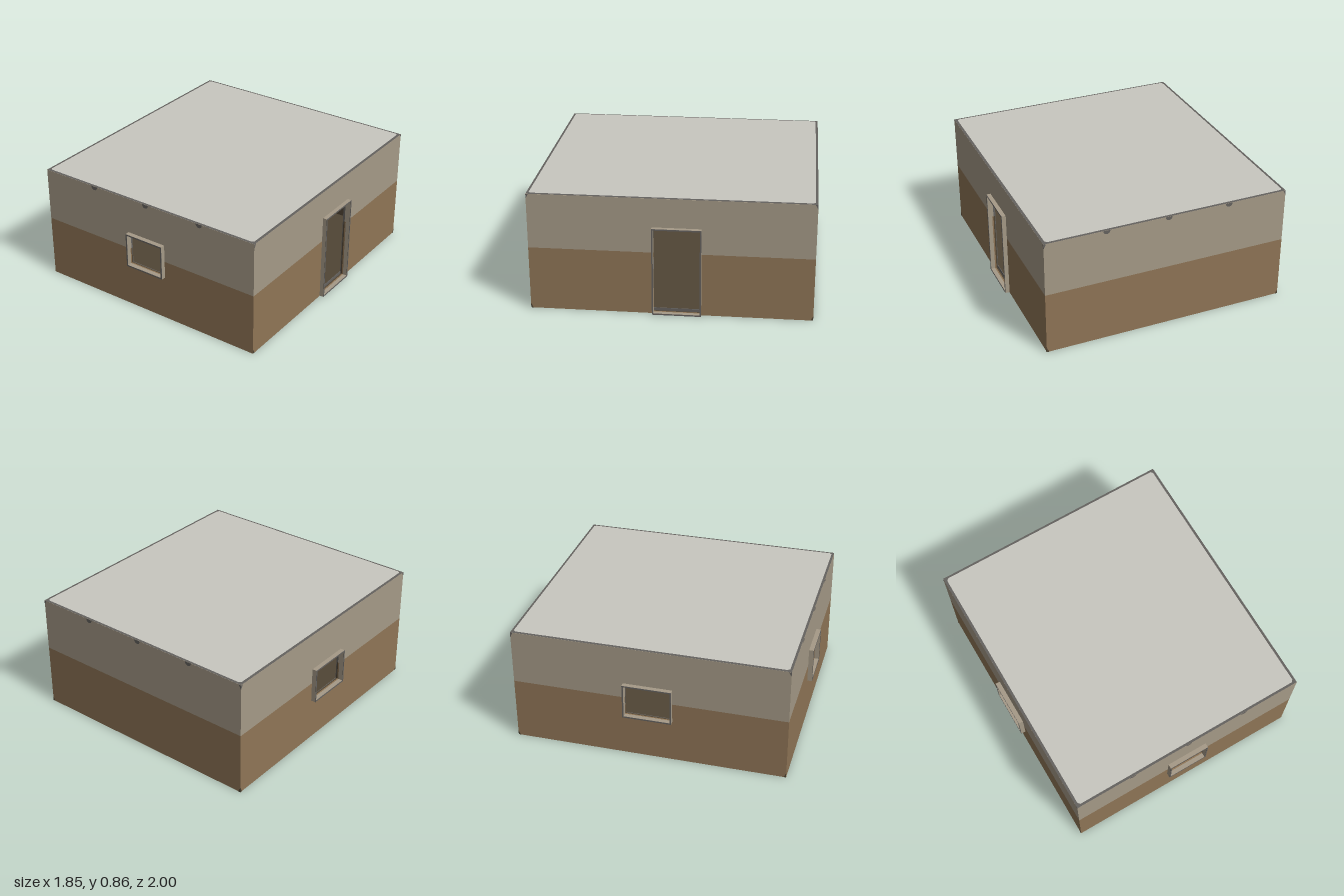
import * as THREE from 'three';

const mat = (name, color) => Object.assign(new THREE.MeshStandardMaterial({ color }), { name });
const M = {
  plaster: mat('beige plaster', 0xa59a87),
  brown: mat('brown base paint', 0x8f7556),
  roof: mat('pale roof', 0xc8c7c0),
  grey: mat('dark grey', 0x65625f),
  dark: mat('dark brown', 0x504535),
};
const H = 0.855, SPLIT = 0.46, X = 0.89, Z0 = -1, Z1 = 0.965;

function add(parent, name, geometry, material, x = 0, y = 0, z = 0) {
  const mesh = new THREE.Mesh(geometry, material);
  mesh.name = name;
  mesh.position.set(x, y, z);
  parent.add(mesh);
  return mesh;
}

// Box given by its extents
function block(parent, name, material, x0, x1, y0, y1, z0, z1) {
  if (x1 - x0 < 1e-4 || y1 - y0 < 1e-4) return;
  add(parent, name, new THREE.BoxGeometry(x1 - x0, y1 - y0, z1 - z0), material,
    (x0 + x1) / 2, (y0 + y1) / 2, (z0 + z1) / 2);
}

// One painted band of a wall, left open where the hole crosses it
function band(g, name, material, u0, u1, y0, y1, z0, z1, hole) {
  if (!hole) return block(g, name, material, u0, u1, y0, y1, z0, z1);
  const [a, b, c, d] = hole;
  const lo = Math.min(Math.max(c, y0), y1), hi = Math.max(Math.min(d, y1), y0);
  block(g, name, material, u0, a, y0, y1, z0, z1);
  block(g, name, material, b, u1, y0, y1, z0, z1);
  block(g, name, material, a, b, y0, lo, z0, z1);
  block(g, name, material, a, b, hi, y1, z0, z1);
}

// Four bars around an opening, reaching inward from the given outer edge
function ring(g, name, material, [a, b, c, d], t, z0, z1) {
  block(g, name, material, a, a + t, c, d, z0, z1);
  block(g, name, material, b - t, b, c, d, z0, z1);
  block(g, name, material, a + t, b - t, c, c + t, z0, z1);
  block(g, name, material, a + t, b - t, d - t, d, z0, z1);
}

// Wall with local +z pointing outdoors, in two colours on both sides
function wall(name, u0, u1, opening, depth) {
  const g = new THREE.Group();
  g.name = name;
  const t = 0.01;
  const hole = opening && [opening[0] + t, opening[1] - t, opening[2] + t, opening[3] - t];
  band(g, 'lowerOuterWall', M.brown, u0, u1, 0, SPLIT, -0.01, 0, hole);
  band(g, 'upperOuterWall', M.plaster, u0, u1, SPLIT, H, -0.01, 0, hole);
  band(g, 'lowerInnerWall', M.dark, u0 + 0.005, u1 - 0.005, 0.005, SPLIT, -0.02, -0.01, hole);
  band(g, 'upperInnerWall', M.grey, u0 + 0.005, u1 - 0.005, SPLIT, H - 0.005, -0.02, -0.01, hole);
  if (opening) {
    ring(g, 'frame', M.plaster, opening, t, 0, depth - 0.002);
    ring(g, 'frameRim', M.grey, opening, t, depth - 0.002, depth);
    const [a, b, c, d] = opening, e = 0.018;
    ring(g, 'innerTrim', M.grey, [a - e, b + e, Math.max(c - e, 0.005), d + e], t + e, -0.025, -0.02);
  }
  // Small dark chips in the corners
  for (const [u, s] of [[u0, 1], [u1, -1]]) for (const top of [0, 1]) {
    const y = top ? -0.035 : 0.035, w = s * 0.018;
    const tri = new THREE.Shape([[0, 0], [w, 0], [0, y]].map(p => new THREE.Vector2(...p)));
    if (!opening || Math.abs(u1 - u0) > 1.9)
      add(g, 'cornerChip', new THREE.ShapeGeometry(tri), top ? M.grey : M.dark, u, top ? H : 0, 0.001);
  }
  return g;
}

// Half-round dark notches along the top edge
function notches(g) {
  for (const u of [-0.45, 0, 0.45]) {
    const n = add(g, 'notch', new THREE.CircleGeometry(0.026, 8, Math.PI, Math.PI), M.grey, u, H, 0.001);
    n.scale.y = 1.05;
  }
}

export function createModel() {
  const model = new THREE.Group();
  model.name = 'house';

  const front = wall('frontWall', -X, X, [-0.155, 0.155, 0.333, 0.59], 0.035);
  front.position.z = Z1;
  const back = wall('backWall', -X, X);
  back.position.z = Z0;
  back.rotation.y = Math.PI;
  notches(front);
  notches(back);

  // Door wall on +x, window wall on -x
  const doorWall = wall('doorWall', -Z1, -Z0, [-0.11, 0.23, 0.003, 0.647], 0.032);
  doorWall.position.x = X;
  doorWall.rotation.y = Math.PI / 2;
  const windowWall = wall('windowWall', Z0, Z1, [-0.195, 0.155, 0.315, 0.575], 0.035);
  windowWall.position.x = -X;
  windowWall.rotation.y = -Math.PI / 2;
  model.add(front, back, doorWall, windowWall);

  // Floor, underside and ceiling
  block(model, 'underside', M.brown, -X, X, 0, 0.004, Z0, Z1);
  block(model, 'floor', M.dark, -X + 0.015, X - 0.015, 0.004, 0.01, Z0 + 0.015, Z1 - 0.015);
  block(model, 'ceiling', M.grey, -X + 0.015, X - 0.015, H - 0.012, H - 0.004, Z0 + 0.015, Z1 - 0.015);

  // Dark coping with the pale roof inset on it
  const coping = add(model, 'coping', new THREE.PlaneGeometry(2 * X, Z1 - Z0), M.grey,
    0, H + 0.001, (Z0 + Z1) / 2);
  coping.rotation.x = -Math.PI / 2;
  const w = X - 0.018, d = (Z1 - Z0) / 2 - 0.016, c = 0.015;
  const outline = [[-w + c, -d], [w - c, -d], [w, -d + c], [w, d - c],
    [w - c, d], [-w + c, d], [-w, d - c], [-w, -d + c]];
  const roof = add(model, 'roof',
    new THREE.ShapeGeometry(new THREE.Shape(outline.map(p => new THREE.Vector2(...p)))), M.roof,
    0, H + 0.003, (Z0 + Z1) / 2);
  roof.rotation.x = -Math.PI / 2;
  return model;
}
